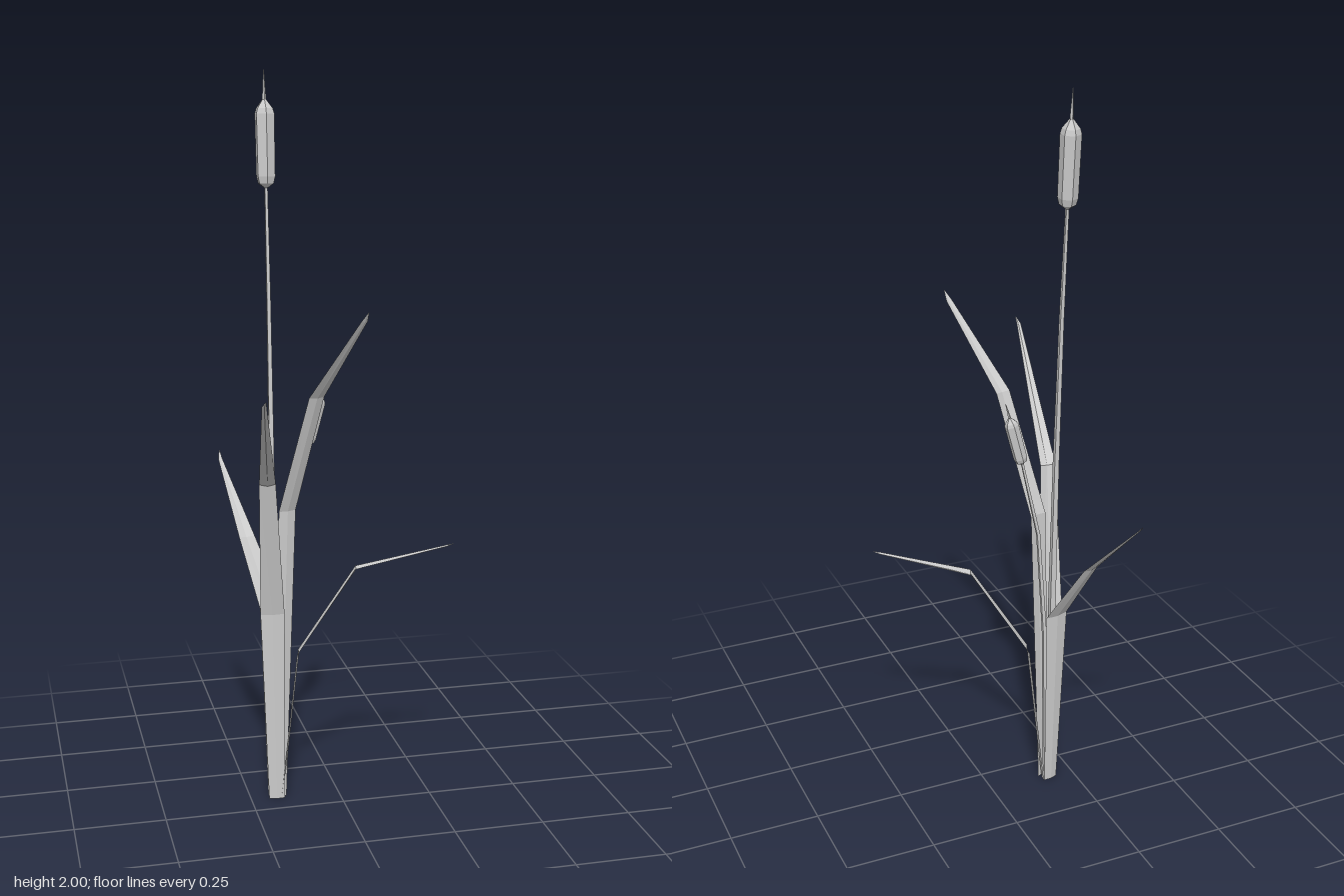
import * as THREE from 'three';

const material = new THREE.MeshStandardMaterial({
  color: 0xcccccc, flatShading: true, side: THREE.DoubleSide,
});

// Joins equal-length rows of points into a faceted skin.
function skin(name, rows, closed) {
  const n = rows[0].length;
  const index = [];
  for (let i = 0; i < rows.length - 1; i++) {
    for (let j = 0; j < (closed ? n : n - 1); j++) {
      const a = i * n + j, b = i * n + (j + 1) % n;
      index.push(a, b, a + n, b, b + n, a + n);
    }
  }
  const geometry = new THREE.BufferGeometry().setFromPoints(rows.flat());
  geometry.setIndex(index);
  const flat = geometry.toNonIndexed();
  flat.computeVertexNormals();
  const mesh = new THREE.Mesh(flat, material);
  mesh.name = name;
  return mesh;
}

// Round section of given sides swept along [x, y, z, radius] stations.
function sweep(name, stations, sides, spin = 0) {
  const centres = stations.map(([x, y, z]) => new THREE.Vector3(x, y, z));
  const up = new THREE.Vector3(0, 1, 0);
  const rows = stations.map(([, , , r], i) => {
    const before = centres[Math.max(i - 1, 0)];
    const after = centres[Math.min(i + 1, centres.length - 1)];
    const turn = new THREE.Quaternion().setFromUnitVectors(up, after.clone().sub(before).normalize());
    return Array.from({ length: sides }, (_, k) => {
      const a = (k / sides) * Math.PI * 2 + spin;
      return new THREE.Vector3(Math.sin(a) * r, 0, Math.cos(a) * r).applyQuaternion(turn).add(centres[i]);
    });
  });
  return skin(name, rows, true);
}

// Blade bent at its stations [x, y, z, halfWidth, fold]; widthX and widthZ give
// the direction of its width, and the fold runs along its underside.
function leaf(name, [widthX, widthZ], stations) {
  const first = stations[0], last = stations[stations.length - 1];
  const out = new THREE.Vector3(last[0] - first[0], 0, last[2] - first[2]);
  const side = new THREE.Vector3(widthX, 0, widthZ).normalize();
  const rows = stations.map(([x, y, z, w, fold], i) => {
    const c = new THREE.Vector3(x, y, z);
    const p = stations[Math.max(i - 1, 0)], q = stations[Math.min(i + 1, stations.length - 1)];
    const under = new THREE.Vector3(q[0] - p[0], q[1] - p[1], q[2] - p[2]).cross(side).normalize();
    if (under.dot(out) < 0) under.negate();
    return [
      c.clone().addScaledVector(side, -w),
      c.clone().addScaledVector(under, w * fold),
      c.clone().addScaledVector(side, w),
    ];
  });
  return skin(name, rows, false);
}

// Seed head: bevelled prism between two points, topped by a thin spike.
function seedHead(name, bottom, top, tip, radius) {
  const a = new THREE.Vector3(...bottom), b = new THREE.Vector3(...top);
  const profile = [[0, 0.2], [0.05, 0.8], [0.13, 0.97], [0.84, 1], [0.9, 0.85], [1, 0.2]];
  const group = new THREE.Group();
  group.name = name;
  group.add(
    sweep('head', profile.map(([t, r]) => [...a.clone().lerp(b, t).toArray(), r * radius]), 6),
    sweep('spike', [[...top, radius * 0.2], [...tip, 0.001]], 4),
  );
  return group;
}

export function createModel() {
  const model = new THREE.Group();
  model.name = 'reedPlant';

  // Stems and seed heads
  model.add(
    sweep('tallStem', [
      [-0.18, 0, -0.075, 0.013], [-0.18, 0.6, -0.078, 0.011], [-0.18, 1.0, -0.085, 0.009],
      [-0.18, 1.4, -0.1, 0.007], [-0.18, 1.72, -0.12, 0.005],
    ], 4, Math.PI / 4),
    seedHead('tallHead', [-0.18, 1.7, -0.119], [-0.18, 1.925, -0.132], [-0.18, 2.0, -0.136], 0.027),
    sweep('shortStem', [
      [-0.163, 0, -0.093, 0.008], [-0.15, 0.5, -0.093, 0.007],
      [-0.128, 0.8, -0.091, 0.006], [-0.077, 1.03, -0.087, 0.004],
    ], 4, Math.PI / 4),
    seedHead('shortHead', [-0.079, 1.015, -0.087], [-0.044, 1.15, -0.084], [-0.033, 1.19, -0.083], 0.019),
  );

  // Leaves
  model.add(
    leaf('frontLeaf', [1, 0.1], [
      [-0.178, 0, -0.063, 0.022, 0.15], [-0.187, 0.55, -0.055, 0.033, 0.15],
      [-0.213, 0.94, 0.03, 0.022, 0.3], [-0.285, 1.225, 0.385, 0.006, 0.5], [-0.284, 1.24, 0.405, 0.001, 0],
    ]),
    leaf('frontLeftLeaf', [0.97, -0.24], [
      [-0.168, 0, -0.07, 0.02, 0.15], [-0.143, 0.84, -0.058, 0.025, 0.15],
      [-0.083, 1.17, 0.045, 0.022, 0.2], [0.006, 1.39, 0.2, 0.009, 0.3], [0.013, 1.415, 0.217, 0.001, 0],
    ]),
    leaf('leftLeaf', [0.27, -0.96], [
      [-0.16, 0, -0.08, 0.02, 0.15], [-0.116, 0.43, -0.064, 0.026, 0.15],
      [0.035, 0.68, -0.014, 0.018, 0.3], [0.27, 0.75, 0.066, 0.007, 0.4], [0.288, 0.756, 0.072, 0.001, 0],
    ]),
    leaf('backLeaf', [0.98, -0.2], [
      [-0.178, 0, -0.095, 0.02, 0.15], [-0.178, 0.55, -0.112, 0.035, 0.15],
      [-0.228, 0.73, -0.21, 0.023, 0.2], [-0.272, 0.915, -0.385, 0.006, 0.3], [-0.271, 0.935, -0.405, 0.001, 0],
    ]),
  );
  return model;
}
